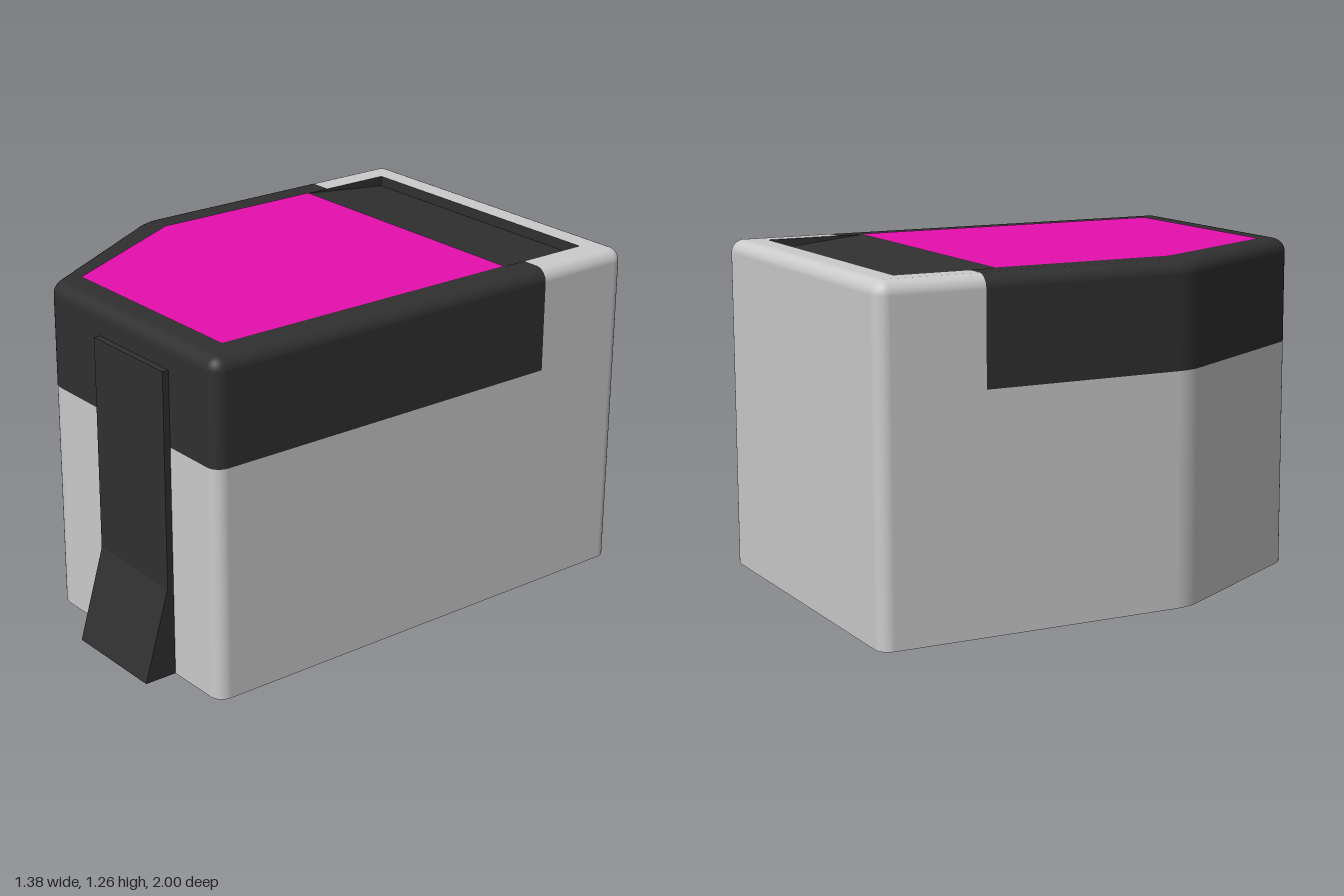
import * as THREE from 'three';

const HALF = 0.69, FRONT = 0.875, BACK = -1, SPLIT = -0.6;   // footprint
const SEAM = 0.865, TOP = 1.255, FILLET = 0.05;              // heights
const WELL = { x0: -0.56, x1: 0.575, front: -0.5, back: -0.88, floor: 1.215 };

const paint = (color) => new THREE.MeshStandardMaterial({ color });
const grey = paint(0xcccccc), dark = paint(0x303030), pink = paint(0xe60fad);

// Corners as [x, z, radius], counter-clockwise seen from above
const frontRight = [HALF, FRONT, 0.05], backRight = [HALF, BACK, 0.05], backLeft = [-HALF, BACK, 0.05];
const chamferBack = [-HALF, 0.21, 0.2], chamferFront = [-0.3, FRONT, 0.1];
const splitRight = [HALF, SPLIT, 0], splitLeft = [-HALF, SPLIT, 0];

// Rounded outline: points with their outward normals
function outline(corners, closed) {
  const n = corners.length, pts = [];
  const normal = (a, b) => {
    const dx = b[0] - a[0], dz = b[1] - a[1], l = Math.hypot(dx, dz);
    return [-dz / l, dx / l];
  };
  corners.forEach((c, i) => {
    const first = !closed && i === 0, last = !closed && i === n - 1;
    const nOut = last ? null : normal(c, corners[(i + 1) % n]);
    const nIn = first ? nOut : normal(corners[(i + n - 1) % n], c);
    if (first || last) {
      pts.push({ x: c[0], z: c[1], nx: nIn[0], nz: nIn[1] });
      return;
    }
    const k = c[2] / (1 + nIn[0] * nOut[0] + nIn[1] * nOut[1]);
    const cx = c[0] - (nIn[0] + nOut[0]) * k, cz = c[1] - (nIn[1] + nOut[1]) * k;
    const a = Math.atan2(-nIn[1], nIn[0]), b = Math.atan2(-nOut[1], nOut[0]);
    const sweep = (b - a + Math.PI * 2) % (Math.PI * 2);
    for (let s = 0; s <= 8; s++) {
      const t = a + sweep * s / 8, nx = Math.cos(t), nz = -Math.sin(t);
      pts.push({ x: cx + nx * c[2], z: cz + nz * c[2], nx, nz });
    }
  });
  if (closed) pts.push(pts[0]);
  return pts;
}

// Wall along an outline, optionally rolling over into a top fillet
function wall(pts, y0, y1, fillet) {
  const rings = [[y0, 0, 0], [y1 - fillet, 0, 0]];
  if (fillet) for (let s = 1; s <= 8; s++) {
    const t = s / 8 * Math.PI / 2;
    rings.push([y1 - fillet * (1 - Math.sin(t)), fillet * (1 - Math.cos(t)), t]);
  }
  const pos = [], nor = [], idx = [], m = pts.length;
  rings.forEach(([y, d, t], i) => pts.forEach((p, j) => {
    pos.push(p.x - p.nx * d, y, p.z - p.nz * d);
    nor.push(p.nx * Math.cos(t), Math.sin(t), p.nz * Math.cos(t));
    if (i && j) {
      const b = i * m + j, a = b - m;
      idx.push(a - 1, a, b, a - 1, b, b - 1);
    }
  }));
  const g = new THREE.BufferGeometry();
  g.setAttribute('position', new THREE.Float32BufferAttribute(pos, 3));
  g.setAttribute('normal', new THREE.Float32BufferAttribute(nor, 3));
  return g.setIndex(idx);
}

// Flat horizontal face from [x, z] points
function flat(points, y, down = false) {
  const s = down ? 1 : -1;
  const shape = new THREE.Shape(points.map(([x, z]) => new THREE.Vector2(x, s * z)));
  return new THREE.ShapeGeometry(shape).rotateX(s * Math.PI / 2).translate(0, y, 0);
}

const inset = (pts, d) => pts.map((p) => [p.x - p.nx * d, p.z - p.nz * d]);

// Sloping recess floor with its back and side walls
function wellGeometry() {
  const { x0, x1, front, back, floor } = WELL;
  const g = new THREE.BufferGeometry();
  g.setAttribute('position', new THREE.Float32BufferAttribute([
    x0, TOP, front, x1, TOP, front, x1, floor, back,
    x0, floor, back, x1, TOP, back, x0, TOP, back], 3));
  g.setIndex([0, 1, 2, 0, 2, 3, 3, 2, 4, 3, 4, 5, 1, 4, 2, 0, 3, 5]);
  const flatG = g.toNonIndexed();
  flatG.computeVertexNormals();
  return flatG;
}

export function createModel() {
  const model = new THREE.Group();
  const add = (name, geometry, material) => {
    const mesh = new THREE.Mesh(geometry, material);
    mesh.name = name;
    model.add(mesh);
  };

  // Lower body
  const full = outline([frontRight, backRight, backLeft, chamferBack, chamferFront], true);
  add('bodyWall', wall(full, 0, SEAM, 0), grey);
  add('bodyBase', flat(inset(full.slice(0, -1), 0), 0, true), grey);

  // Raised back of the body, with a U-shaped rim around the recess
  const rear = outline([splitRight, backRight, backLeft, splitLeft], false);
  add('backWall', wall(rear, SEAM, TOP, FILLET), grey);
  add('backRim', flat([...inset(rear, FILLET),
    [WELL.x0, SPLIT], [WELL.x0, WELL.back], [WELL.x1, WELL.back], [WELL.x1, SPLIT]], TOP), grey);

  // Dark lid over the front
  const lid = outline([splitLeft, chamferBack, chamferFront, frontRight, splitRight], false);
  add('lidWall', wall(lid, SEAM, TOP, FILLET), dark);
  add('lidTop', flat([...inset(lid, FILLET),
    [WELL.x1, SPLIT], [WELL.x1, WELL.front], [WELL.x0, WELL.front], [WELL.x0, SPLIT]], TOP), dark);
  add('hingeRecess', wellGeometry(), dark);

  // Coloured panel on the lid
  add('topPanel', flat([[WELL.x0, WELL.front], [WELL.x0, 0.19], [-0.265, 0.76],
    [WELL.x1, 0.76], [WELL.x1, WELL.front]], TOP + 0.002), pink);

  // Front strap flaring into a foot pedal
  const profile = [[0.87, 0], [1, 0], [0.9, 0.34], [0.9, 1.145], [0.87, 1.145]];
  const shape = new THREE.Shape(profile.map(([z, y]) => new THREE.Vector2(-z, y)));
  add('frontPedal', new THREE.ExtrudeGeometry(shape, { depth: 0.41, bevelEnabled: false })
    .rotateY(Math.PI / 2).translate(0.02, 0, 0), dark);

  return model;
}
